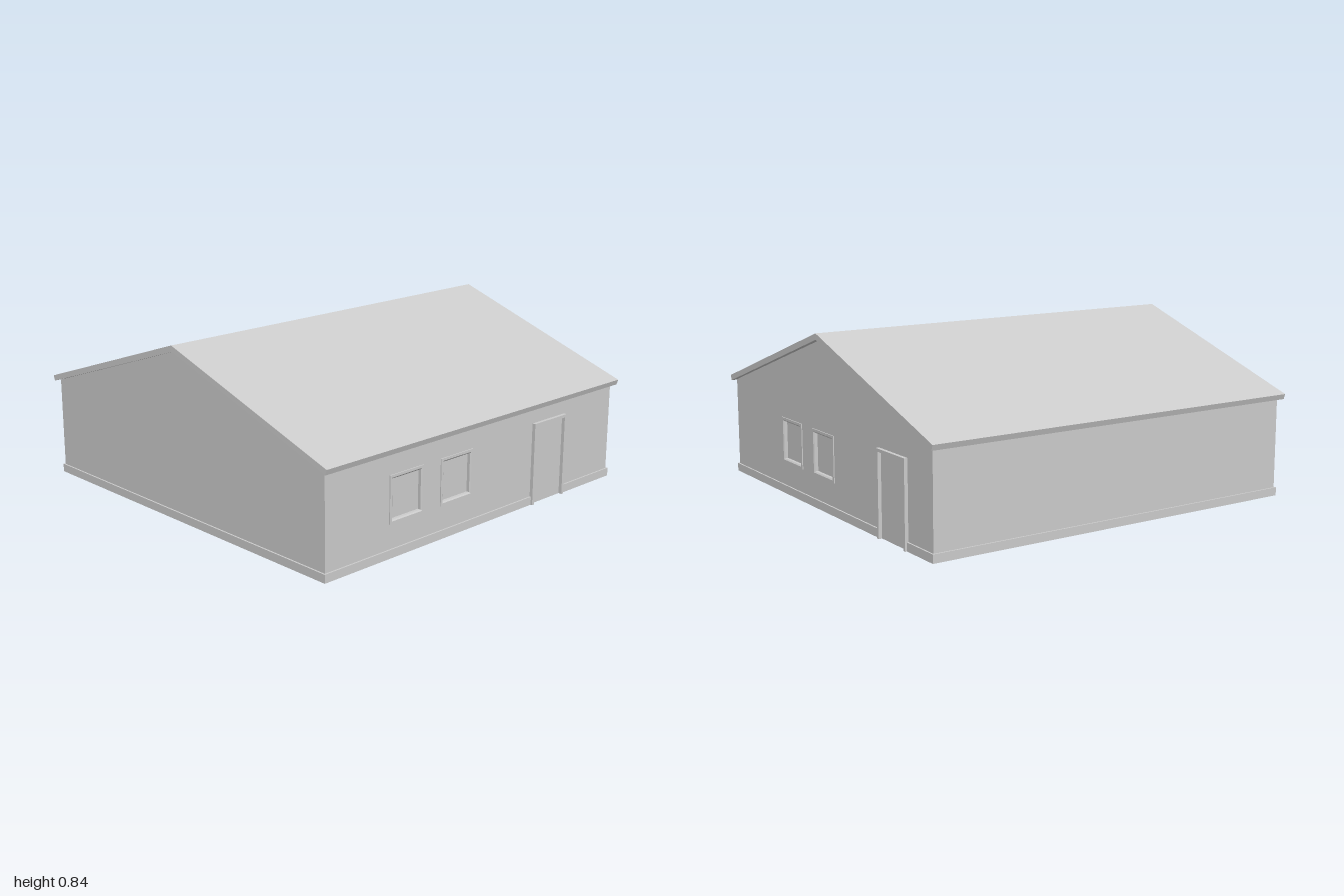
import * as THREE from 'three';

const material = new THREE.MeshStandardMaterial({ color: 0xcccccc, side: THREE.DoubleSide });

const EAVE_Y = 0.486, RIDGE_Y = 0.81;   // top of the wall at the eaves and at the ridge
const HALF_X = 0.972, HALF_Z = 0.967;   // wall planes
const PLINTH_H = 0.04, PLINTH_OUT = 0.008;

// Cross-sections as [inset, depth] steps, from the outer edge inwards
const WINDOW_STEPS = [[0, 0], [0, 0.005], [0.012, 0.005], [0.018, 0], [0.018, -0.015]];
const DOOR_STEPS = [[0, 0], [0, 0.017], [0.014, 0.017], [0.014, 0]];

function addMesh(parent, name, geometry) {
  const mesh = new THREE.Mesh(geometry, material);
  mesh.name = name;
  parent.add(mesh);
  return mesh;
}

function polygon(points) {
  return new THREE.Shape(points.map(([x, y]) => new THREE.Vector2(x, y)));
}

// Sweeps stepped insets around a rectangle; an open one has no sill
function casingGeometry([u0, u1, y0, y1], steps, open) {
  const loops = steps.map(([inset, depth]) => {
    const bottom = open ? y0 : y0 + inset;
    return [
      [u0 + inset, bottom, depth], [u0 + inset, y1 - inset, depth],
      [u1 - inset, y1 - inset, depth], [u1 - inset, bottom, depth],
    ];
  });
  const positions = [];
  for (let s = 0; s < loops.length - 1; s++) {
    for (let i = 0; i < (open ? 3 : 4); i++) {
      const j = (i + 1) % 4;
      const A = loops[s][i], B = loops[s][j], a = loops[s + 1][i], b = loops[s + 1][j];
      positions.push(...A, ...a, ...b, ...A, ...b, ...B);
    }
  }
  const geometry = new THREE.BufferGeometry();
  geometry.setAttribute('position', new THREE.Float32BufferAttribute(positions, 3));
  geometry.computeVertexNormals();
  return geometry;
}

// Casing plus the flat panel that closes it
function opening(name, rect, steps, open) {
  const group = new THREE.Group();
  group.name = name;
  addMesh(group, name + 'Frame', casingGeometry(rect, steps, open));
  const [inset, depth] = steps[steps.length - 1];
  const [u0, u1, y0, y1] = rect;
  const bottom = open ? y0 : y0 + inset;
  const panel = new THREE.PlaneGeometry(u1 - u0 - 2 * inset, y1 - inset - bottom);
  panel.translate((u0 + u1) / 2, (y1 - inset + bottom) / 2, depth);
  addMesh(group, name + 'Panel', panel);
  return group;
}

// One side of the house, drawn facing +z in its own plane
function wallSide({ name, half, gable, windows = [], door }) {
  const side = new THREE.Group();
  side.name = name;

  const outline = [[-half, PLINTH_H]];
  if (door) {
    outline.push([door[0], PLINTH_H], [door[0], door[3]], [door[1], door[3]], [door[1], PLINTH_H]);
  }
  outline.push([half, PLINTH_H], [half, EAVE_Y]);
  if (gable) outline.push([0, RIDGE_Y]);
  outline.push([-half, EAVE_Y]);
  const shape = polygon(outline);
  for (const [u0, u1, y0, y1] of windows) {
    shape.holes.push(polygon([[u0, y0], [u0, y1], [u1, y1], [u1, y0]]));
  }
  addMesh(side, 'wall', new THREE.ShapeGeometry(shape));

  // Plinth runs, broken at the door
  const end = half + PLINTH_OUT;
  const runs = door ? [[-end, door[0]], [door[1], end]] : [[-end, end]];
  for (const [a, b] of runs) {
    const face = new THREE.PlaneGeometry(b - a, PLINTH_H);
    face.translate((a + b) / 2, PLINTH_H / 2, PLINTH_OUT);
    addMesh(side, 'plinth', face);
    const ledge = new THREE.PlaneGeometry(b - a, PLINTH_OUT);
    ledge.rotateX(-Math.PI / 2);
    ledge.translate((a + b) / 2, PLINTH_H, PLINTH_OUT / 2);
    addMesh(side, 'plinthLedge', ledge);
  }

  for (const rect of windows) side.add(opening('window', rect, WINDOW_STEPS, false));
  if (door) side.add(opening('door', door, DOOR_STEPS, true));
  return side;
}

// Gabled slab, slightly longer at the ridge than at the eaves
function roofGeometry() {
  const profile = polygon([
    [-1, 0.505], [-0.991, 0.479], [0, RIDGE_Y], [0.991, 0.479], [1, 0.505], [0, 0.84],
  ]);
  const geometry = new THREE.ExtrudeGeometry(profile, { depth: 2, bevelEnabled: false });
  geometry.translate(0, 0, -1);
  geometry.rotateY(Math.PI / 2);
  const p = geometry.attributes.position;
  for (let i = 0; i < p.count; i++) {
    p.setX(i, p.getX(i) * (1 - 0.008 * Math.abs(p.getZ(i))));
  }
  geometry.computeVertexNormals();
  return geometry;
}

export function createModel() {
  const house = new THREE.Group();
  house.name = 'house';

  const sides = [
    {
      name: 'frontSide', half: HALF_X, out: HALF_Z, turn: 0,
      windows: [[-0.595, -0.382, 0.155, 0.378], [-0.273, -0.06, 0.155, 0.378]],
      door: [0.365, 0.605, 0, 0.404],
    },
    {
      name: 'leftSide', half: HALF_Z, out: HALF_X, turn: 1, gable: true,
      windows: [[-0.432, -0.219, 0.155, 0.378], [-0.108, 0.105, 0.155, 0.378]],
      door: [0.526, 0.766, 0, 0.404],
    },
    { name: 'backSide', half: HALF_X, out: HALF_Z, turn: 2 },
    { name: 'rightSide', half: HALF_Z, out: HALF_X, turn: 3, gable: true },
  ];
  for (const spec of sides) {
    const side = wallSide(spec);
    const angle = spec.turn * Math.PI / 2;
    side.rotation.y = angle;
    side.position.set(Math.sin(angle) * spec.out, 0, Math.cos(angle) * spec.out);
    house.add(side);
  }

  addMesh(house, 'roof', roofGeometry());
  return house;
}
